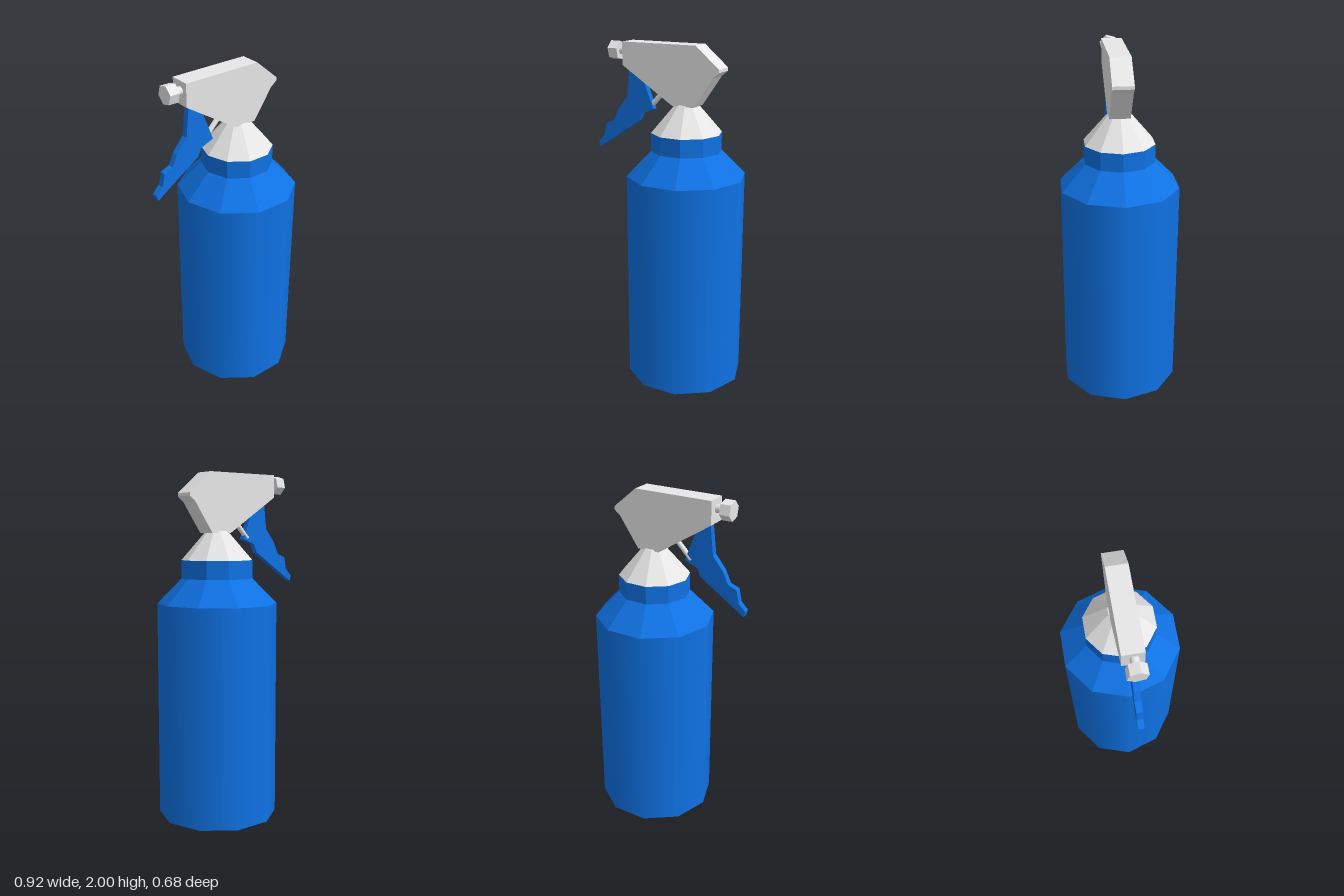
import * as THREE from 'three';

const mat = (name, color) => Object.assign(new THREE.MeshStandardMaterial({ color }), { name });

// Unshared vertices give every facet its own normal
function faceted(geometry) {
  const g = geometry.toNonIndexed();
  g.computeVertexNormals();
  return g;
}

export function createModel() {
  const blue = mat('blue plastic', 0x0f72e4);
  const grey = mat('light grey plastic', 0xe8e8e8);
  const base = mat('pale grey base', 0xb2cfd4);

  const model = new THREE.Group();
  model.name = 'sprayBottle';

  // Everything is built on the bottle axis with the nozzle along -x
  const bottle = new THREE.Group();
  bottle.name = 'bottleAssembly';
  bottle.position.x = 0.114;
  bottle.rotation.y = -0.116;
  model.add(bottle);

  const add = (name, geometry, material, x = 0, y = 0, z = 0) => {
    const mesh = new THREE.Mesh(geometry, material);
    mesh.name = name;
    mesh.position.set(x, y, z);
    bottle.add(mesh);
    return mesh;
  };

  // Ten-sided ring between two heights
  const ring = (y0, r0, y1, r1, open = true) =>
    new THREE.CylinderGeometry(r1, r0, y1 - y0, 10, 1, open, Math.PI / 2)
      .translate(0, (y0 + y1) / 2, 0);

  // Plate cut from a side profile, centred on the bottle axis
  const plate = (points, depth) => {
    const shape = new THREE.Shape(points.map(([x, y]) => new THREE.Vector2(x, y)));
    return new THREE.ExtrudeGeometry(shape, { depth, bevelEnabled: false })
      .translate(0, 0, -depth / 2);
  };

  // Bottle
  add('body', ring(0, 0.347, 1.255, 0.347), blue);
  add('shoulder', faceted(ring(1.255, 0.347, 1.4, 0.205)), blue);
  add('neck', faceted(ring(1.4, 0.205, 1.505, 0.205)), blue);
  const bottom = add('bottom', new THREE.CircleGeometry(0.347, 10), base);
  bottom.rotation.x = Math.PI / 2;

  // Screw cap
  add('cap', faceted(ring(1.505, 0.205, 1.67, 0.063, false)), grey);

  // Spray head
  add('sprayHead', plate([
    [-0.386, 2], [-0.386, 1.868], [-0.06, 1.66], [0.073, 1.66],
    [0.188, 1.83], [0.226, 1.862], [0.226, 1.88], [0.084, 2],
  ], 0.117), grey, 0, 0, 0.004);

  // Nozzle
  const stem = add('nozzleStem', new THREE.CylinderGeometry(0.024, 0.024, 0.08, 12),
    grey, -0.41, 1.945, 0.01);
  stem.rotation.z = Math.PI / 2;
  const hex = new THREE.CylinderGeometry(0.056, 0.056, 0.06, 6, 1, false, Math.PI / 12);
  const nut = add('nozzleNut', faceted(hex), grey, -0.455, 1.945, 0.01);
  nut.rotation.z = Math.PI / 2;

  // Trigger
  add('trigger', plate([
    [-0.357, 1.87], [-0.357, 1.836], [-0.374, 1.683], [-0.438, 1.603],
    [-0.47, 1.534], [-0.523, 1.513], [-0.539, 1.44], [-0.58, 1.397],
    [-0.571, 1.365], [-0.3, 1.545], [-0.278, 1.593], [-0.198, 1.624],
    [-0.273, 1.815],
  ], 0.037), blue, 0, 0, 0.018);

  // Pump rod joining the trigger to the head
  const rod = new THREE.LineCurve3(
    new THREE.Vector3(-0.235, 1.63, 0), new THREE.Vector3(-0.11, 1.76, 0));
  add('pumpRod', new THREE.TubeGeometry(rod, 1, 0.015, 10), grey, 0, 0, 0.012);

  return model;
}
